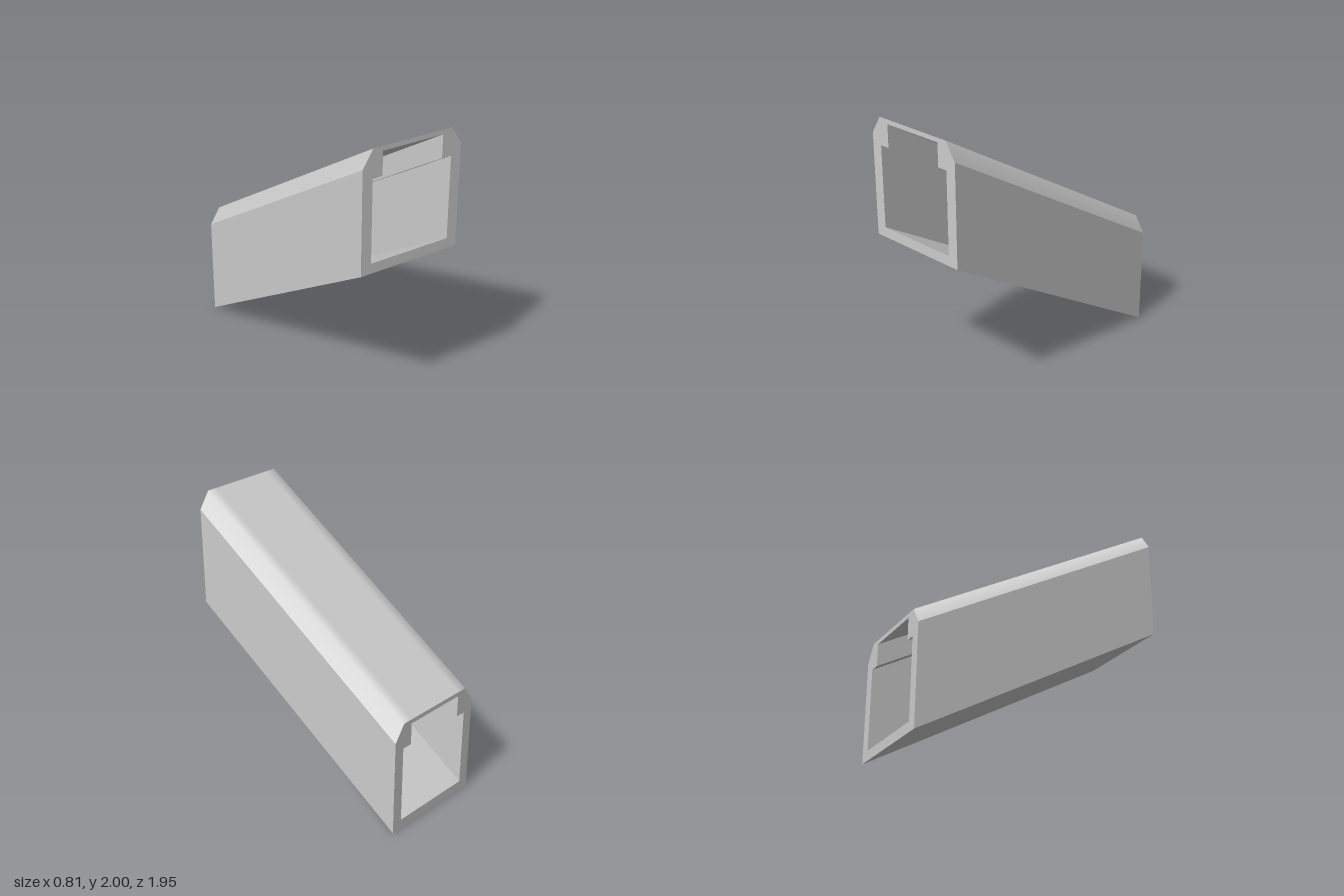
import * as THREE from 'three';

const HALF_LENGTH = 0.973;
const DROP = 1.126;               // height lost from front to back
const HALF_WIDTH = 0.404, TOP_HALF = 0.323, SLOT_HALF = 0.246;
const BASE = 1.126, TOP = 2;      // heights on the front face

// mirror a right-hand half profile (bottom to top) into a closed outline
const mirrored = half => [
  ...half,
  ...half.map(([x, y]) => [-x, y]).reverse(),
].map(([x, y]) => new THREE.Vector2(x, y));

export function createModel() {
  const group = new THREE.Group();
  group.name = 'slopedChannel';

  // outer section with chamfered top corners
  const section = new THREE.Shape(mirrored([
    [HALF_WIDTH, BASE], [HALF_WIDTH, 1.875], [TOP_HALF, TOP], [SLOT_HALF, TOP],
  ]));

  // stepped passage running right through
  section.holes.push(new THREE.Path(mirrored([
    [TOP_HALF, 1.2], [TOP_HALF, 1.8], [SLOT_HALF, 1.8], [SLOT_HALF, 1.967],
  ])));

  const geometry = new THREE.ExtrudeGeometry(section, {
    depth: 2 * HALF_LENGTH, bevelEnabled: false,
  });
  geometry.translate(0, 0, -HALF_LENGTH);

  // shear downward to the back, keeping both end faces upright
  const slope = DROP / (2 * HALF_LENGTH);
  geometry.applyMatrix4(new THREE.Matrix4().set(
    1, 0, 0, 0,
    0, 1, slope, -slope * HALF_LENGTH,
    0, 0, 1, 0,
    0, 0, 0, 1,
  ));
  geometry.computeVertexNormals();

  // soften the shading where each chamfer meets the top
  const pos = geometry.attributes.position, nor = geometry.attributes.normal;
  const topNormal = new THREE.Vector3(0, 1, -slope).normalize();
  const n = new THREE.Vector3();
  for (let i = 0; i < pos.count; i++) {
    const height = pos.getY(i) - slope * (pos.getZ(i) - HALF_LENGTH);
    const side = Math.sign(pos.getX(i));
    const onEdge = Math.abs(height - TOP) < 1e-3 && Math.abs(Math.abs(pos.getX(i)) - TOP_HALF) < 1e-3;
    n.fromBufferAttribute(nor, i);
    if (!onEdge || Math.abs(n.z) > 0.9) continue;
    const rise = TOP - 1.875, run = HALF_WIDTH - TOP_HALF;
    n.set(side * rise, run, -run * slope).normalize().add(topNormal).normalize();
    nor.setXYZ(i, n.x, n.y, n.z);
  }

  const channel = new THREE.Mesh(geometry, new THREE.MeshStandardMaterial({ color: 0xcccccc }));
  channel.name = 'channelBody';
  group.add(channel);
  return group;
}
